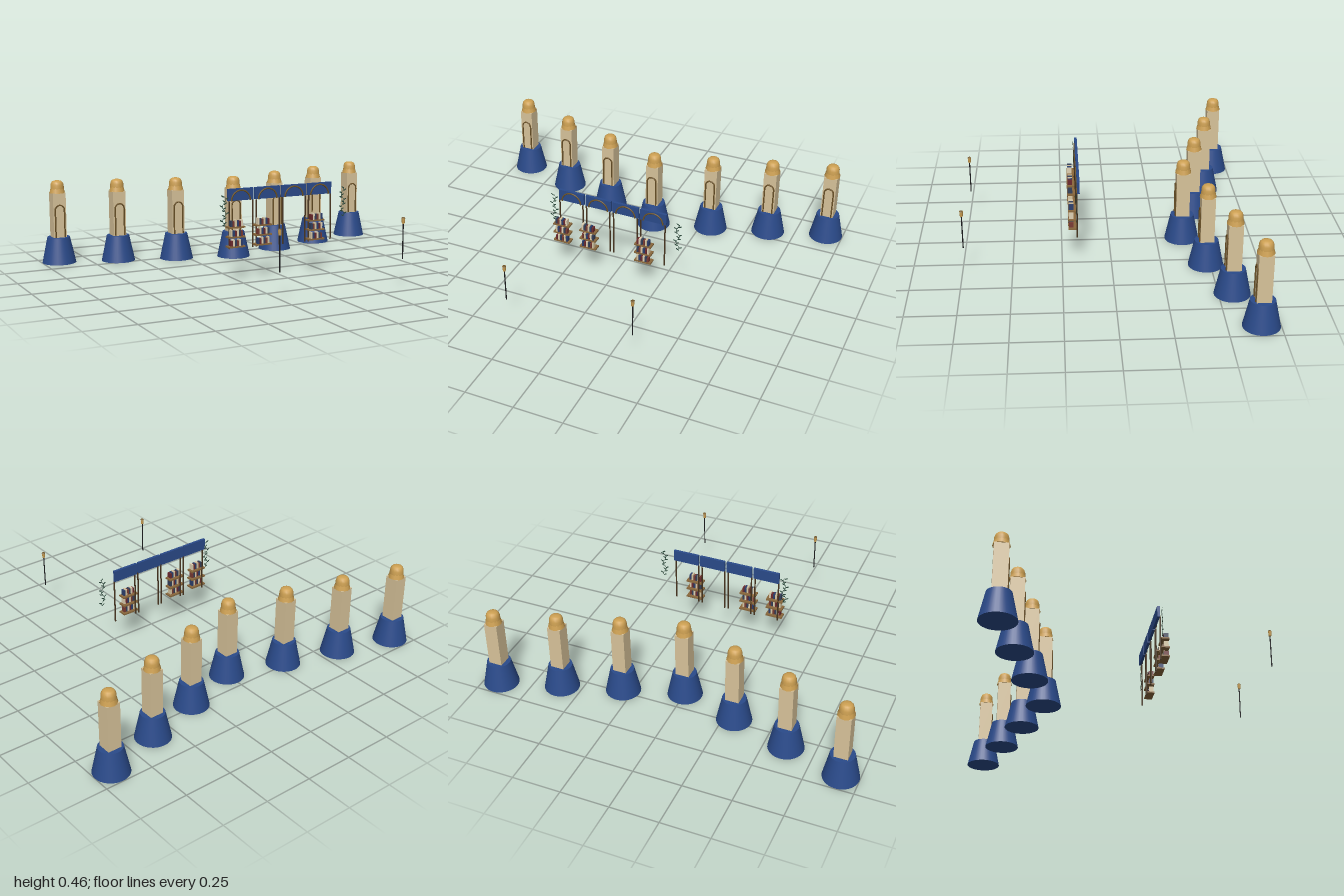
import * as THREE from 'three';

const mat = (color, extra = {}) => new THREE.MeshStandardMaterial({ color, ...extra });
const blue = mat(0x2a4a8a), cream = mat(0xd8c39a), gold = mat(0xcda052), bronze = mat(0x6e5428);
const wood = mat(0x8a683c), darkWood = mat(0x4a3620), iron = mat(0x1c1c1e);
const leafMat = mat(0x2c4a3c, { side: THREE.DoubleSide });
const bookMats = [0x6e2a2e, 0x2c3f6e, 0xd8c8a4, 0x7a3b34, 0x34405a, 0xe0d2b4].map((c) => mat(c));

function add(parent, name, geometry, material, x = 0, y = 0, z = 0) {
  const mesh = new THREE.Mesh(geometry, material);
  mesh.name = name;
  mesh.position.set(x, y, z);
  parent.add(mesh);
  return mesh;
}

function group(parent, name, x = 0, y = 0, z = 0) {
  const g = new THREE.Group();
  g.name = name;
  g.position.set(x, y, z);
  parent.add(g);
  return g;
}

const box = (w, h, d) => new THREE.BoxGeometry(w, h, d);

// Round-headed moulding: two straight legs joined by a half circle
function archGeometry(radius, legs, tube) {
  const path = new THREE.CurvePath();
  const v = (x, y) => new THREE.Vector3(x, y, 0);
  const pts = [];
  if (legs > 0) for (let i = 0; i < 6; i++) pts.push(v(-radius, -legs + (legs * i) / 6));
  for (let i = 0; i <= 12; i++) {
    const a = Math.PI * (1 - i / 12);
    pts.push(v(Math.cos(a) * radius, Math.sin(a) * radius));
  }
  if (legs > 0) for (let i = 1; i <= 6; i++) pts.push(v(radius, (-legs * i) / 6));
  return new THREE.TubeGeometry(new THREE.CatmullRomCurve3(pts), 48, tube, 6);
}

// Tower: flared blue foot, square shaft, arched moulding and domed cap
const footGeo = new THREE.CylinderGeometry(0.06, 0.09, 0.14, 32);
const shaftGeo = box(0.07, 0.24, 0.07);
const towerArchGeo = archGeometry(0.025, 0.148, 0.004);
const eavesGeo = new THREE.CylinderGeometry(0.033, 0.042, 0.036, 12);
const domeGeo = new THREE.LatheGeometry(
  [[0.036, 0], [0.035, 0.02], [0.031, 0.033], [0.025, 0.04], [0.014, 0.044], [0, 0.045]]
    .map(([r, y]) => new THREE.Vector2(r, y)), 16);

function tower(parent, x, z) {
  const g = group(parent, 'tower', x, 0, z);
  add(g, 'foot', footGeo, blue, 0, 0.07, 0);
  add(g, 'shaft', shaftGeo, cream, 0, 0.26, 0);
  add(g, 'archMoulding', towerArchGeo, bronze, 0, 0.29, 0.037);
  add(g, 'eaves', eavesGeo, gold, 0, 0.396, 0);
  add(g, 'dome', domeGeo, gold, 0, 0.4, 0);
}

// Arcade bay: blue header, half-round arch and a pair of slim posts
const headerGeo = box(0.14, 0.06, 0.014);
const bayArchGeo = archGeometry(0.052, 0, 0.004);
const postGeo = new THREE.CylinderGeometry(0.004, 0.004, 0.24, 8);

function bay(parent, x) {
  const g = group(parent, 'arcadeBay', x, 0, 0.165);
  add(g, 'header', headerGeo, blue, 0, 0.433, 0);
  add(g, 'arch', bayArchGeo, bronze, 0, 0.402, 0.008);
  for (const s of [-1, 1]) add(g, 'post', postGeo, darkWood, s * 0.065, 0.282, 0.008);
}

// Shelf unit: three boards, each with a row of books
const boardGeo = box(0.09, 0.008, 0.042);

function shelves(parent, x, seed) {
  const g = group(parent, 'shelfUnit', x, 0, 0.195);
  for (let row = 0; row < 3; row++) {
    const y = 0.178 + row * 0.049;
    add(g, 'board', boardGeo, wood, 0, y, 0);
    for (let i = 0; i < 6; i++) {
      const k = i * 5 + row * 2 + seed;
      const h = 0.027 + (k % 3) * 0.003;
      add(g, 'book', box(0.009, h, 0.024), bookMats[k % 6], -0.028 + i * 0.0112, y + 0.004 + h / 2, 0.006);
    }
  }
}

// Hanging vine: a thin wavy stem with alternating flat leaves
const leafGeo = new THREE.CircleGeometry(0.5, 6).scale(0.02, 0.007, 1);

function vine(parent, x, phase) {
  const g = group(parent, 'vine', x, 0, 0.178);
  const pts = [];
  const sway = (i) => Math.sin(i * 1.1 + phase) * 0.009;
  for (let i = 0; i <= 12; i++) {
    const y = 0.43 - i * 0.0122;
    pts.push(new THREE.Vector3(sway(i), y, 0));
    const side = i % 2 ? 1 : -1;
    const leaf = add(g, 'leaf', leafGeo, leafMat, sway(i) + side * 0.008, y, 0.001);
    leaf.rotation.z = side * 0.5;
  }
  add(g, 'stem', new THREE.TubeGeometry(new THREE.CatmullRomCurve3(pts), 36, 0.0013, 4), leafMat);
}

// Lantern on a slim iron pole
const poleGeo = new THREE.CylinderGeometry(0.003, 0.003, 0.175, 8);
const lampGeo = new THREE.CylinderGeometry(0.009, 0.007, 0.028, 8);

function lantern(parent, x) {
  const g = group(parent, 'lantern', x, 0, 0.737);
  add(g, 'pole', poleGeo, iron, 0, 0.2425, 0);
  add(g, 'lamp', lampGeo, gold, 0, 0.341, 0);
  add(g, 'lampCap', new THREE.CylinderGeometry(0.007, 0.01, 0.004, 8), bronze, 0, 0.355, 0);
}

export function createModel() {
  const model = new THREE.Group();
  model.name = 'towersAndArcade';

  // Seven towers in a V
  for (let i = -3; i <= 3; i++) tower(model, i * 0.3033, -0.385 - Math.abs(i) * 0.091);

  // Arcade of four bays with its shelves and vines
  const arcade = group(model, 'arcade');
  for (const x of [-0.225, -0.075, 0.075, 0.225]) bay(arcade, x);
  [-0.267, -0.118, 0.187].forEach((x, i) => shelves(arcade, x, i));
  vine(arcade, -0.32, 0);
  vine(arcade, 0.36, 1.5);

  for (const x of [-0.306, 0.362]) lantern(model, x);
  return model;
}
